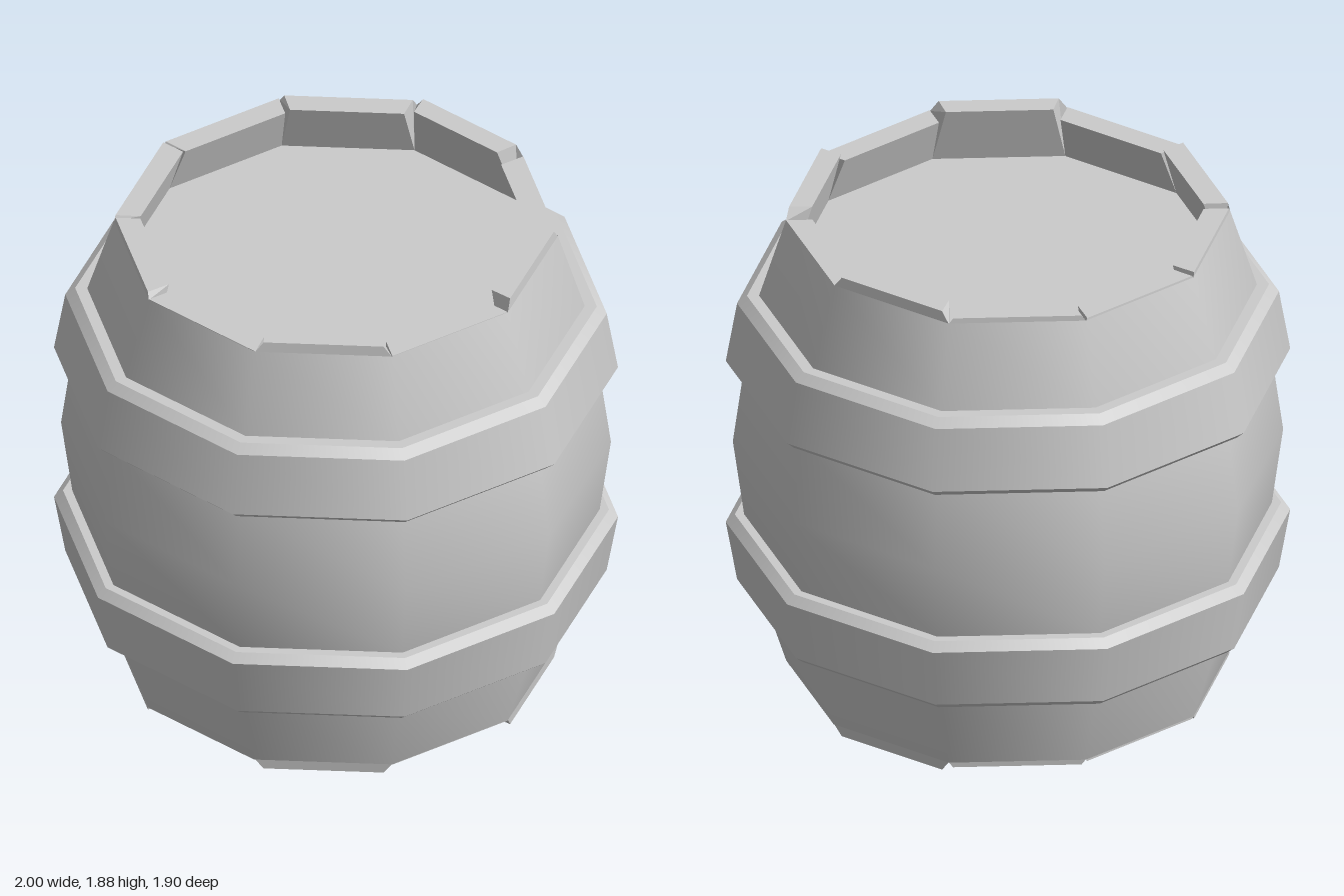
import * as THREE from 'three';
import { mergeGeometries } from 'three/addons/utils/BufferGeometryUtils.js';

const SIDES = 10, HEIGHT = 1.88, STEP = Math.PI * 2 / SIDES;
const LID_Y = 1.655, LID_RADIUS = 0.762;
const grey = new THREE.MeshStandardMaterial({ color: 0xcccccc });

function mesh(name, geometry) {
  const m = new THREE.Mesh(geometry, grey);
  m.name = name;
  return m;
}

// Ten-sided revolve with a corner on the x axis
function revolve(points) {
  const geo = new THREE.LatheGeometry(points.map(([r, y]) => new THREE.Vector2(r, y)), SIDES, Math.PI / 2);
  geo.normalizeNormals();
  return geo;
}

// Revolve with a sharp edge at every profile point
function creasedRevolve(points) {
  return mergeGeometries(points.slice(1).map((p, i) => revolve([points[i], p])));
}

// Mirror a profile to the other half, keeping its direction upward
const flip = (points) => points.map(([r, y]) => [r, HEIGHT - y]).reverse();

// One stave end: a box bent onto the rim, its inner wall flaring out to the lid
function staveEnd(index, top, upper) {
  const geo = new THREE.BoxGeometry(1, 1, 1);
  const pos = geo.attributes.position;
  const rise = top - 1.84;
  for (let i = 0; i < pos.count; i++) {
    const outer = pos.getZ(i) > 0;
    const tip = (pos.getY(i) > 0) === upper;
    // Raised ends narrow slightly towards the tip
    const angle = index * STEP + pos.getX(i) * (STEP - (tip ? rise * 1.8 : 0));
    const r = outer ? 0.787 - (tip ? rise * 0.3 : 0) : tip ? 0.693 : LID_RADIUS;
    const y = tip ? top : outer ? 1.838 : LID_Y;
    pos.setXYZ(i, r * Math.sin(angle), upper ? y : HEIGHT - y, r * Math.cos(angle));
  }
  const flat = geo.toNonIndexed();
  flat.computeVertexNormals();
  return flat;
}

export function createModel() {
  const barrel = new THREE.Group();
  barrel.name = 'barrel';

  // Bulging body, smooth from rim to rim
  const upperHalf = [[0.935, 1.24], [0.882, 1.535], [0.787, 1.84]];
  barrel.add(mesh('body', revolve([...flip(upperHalf), [0.975, 0.94], ...upperHalf])));

  // Bevelled hoops
  const hoop = [[0.92, 1.24], [0.968, 1.24], [1.0, 1.27], [0.96, 1.505], [0.925, 1.535], [0.87, 1.535]];
  barrel.add(mesh('upperHoop', creasedRevolve(hoop)));
  barrel.add(mesh('lowerHoop', creasedRevolve(flip(hoop))));

  // Uneven stave ends around both rims, starting at the front, with a sunken disc in each
  const tops = [1.842, 1.88, 1.842, 1.88, 1.842, 1.88, 1.86, 1.848, 1.855, 1.862];
  for (const upper of [true, false]) {
    const ends = tops.map((top, i) => staveEnd(i, top, upper));
    barrel.add(mesh(upper ? 'topRim' : 'bottomRim', mergeGeometries(ends)));

    const disc = mesh(upper ? 'lid' : 'base', new THREE.CircleGeometry(LID_RADIUS, SIDES));
    disc.rotation.x = upper ? -Math.PI / 2 : Math.PI / 2;
    disc.position.y = upper ? LID_Y : HEIGHT - LID_Y;
    barrel.add(disc);
  }
  return barrel;
}
